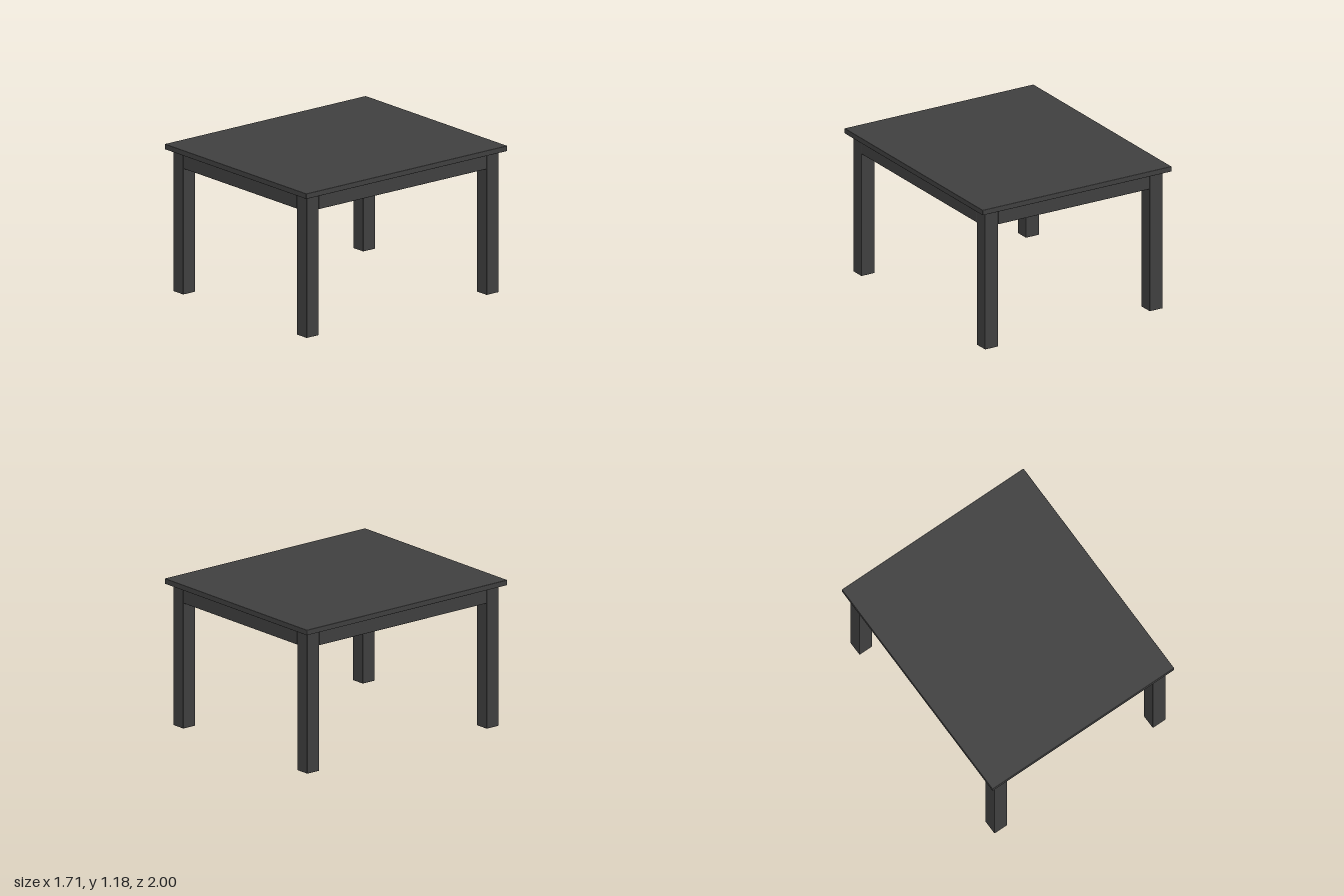
import * as THREE from 'three';
import { RoundedBoxGeometry } from 'three/addons/geometries/RoundedBoxGeometry.js';

const TOP = { w: 1.71, d: 2, y0: 1.135, y1: 1.178 };
const LEG = 0.12, LEG_X = 0.745, LEG_Z = 0.895;
const APRON_Y0 = 1.01;

export function createModel() {
  const table = new THREE.Group();
  table.name = 'table';
  const paint = new THREE.MeshStandardMaterial({ color: 0x404040 });

  // Box with slightly eased edges, standing from y0 to y1
  const board = (name, w, d, y0, y1, x = 0, z = 0) => {
    const mesh = new THREE.Mesh(new RoundedBoxGeometry(w, y1 - y0, d, 1, 0.004), paint);
    mesh.name = name;
    mesh.position.set(x, (y0 + y1) / 2, z);
    table.add(mesh);
  };

  board('tableTop', TOP.w, TOP.d, TOP.y0, TOP.y1);

  // Square legs at the four corners
  for (const [sx, side] of [[1, 'Left'], [-1, 'Right']]) {
    for (const [sz, end] of [[1, 'front'], [-1, 'back']]) {
      board(`${end}${side}Leg`, LEG, LEG, 0, TOP.y0, sx * LEG_X, sz * LEG_Z);
    }
  }

  // Aprons between the legs, flush with their faces
  const spanX = 2 * LEG_X - LEG, spanZ = 2 * LEG_Z - LEG;
  for (const [s, end, side] of [[1, 'front', 'left'], [-1, 'back', 'right']]) {
    board(`${end}Apron`, spanX, LEG, APRON_Y0, TOP.y0, 0, s * LEG_Z);
    board(`${side}Apron`, LEG, spanZ, APRON_Y0, TOP.y0, s * LEG_X, 0);
  }
  return table;
}
